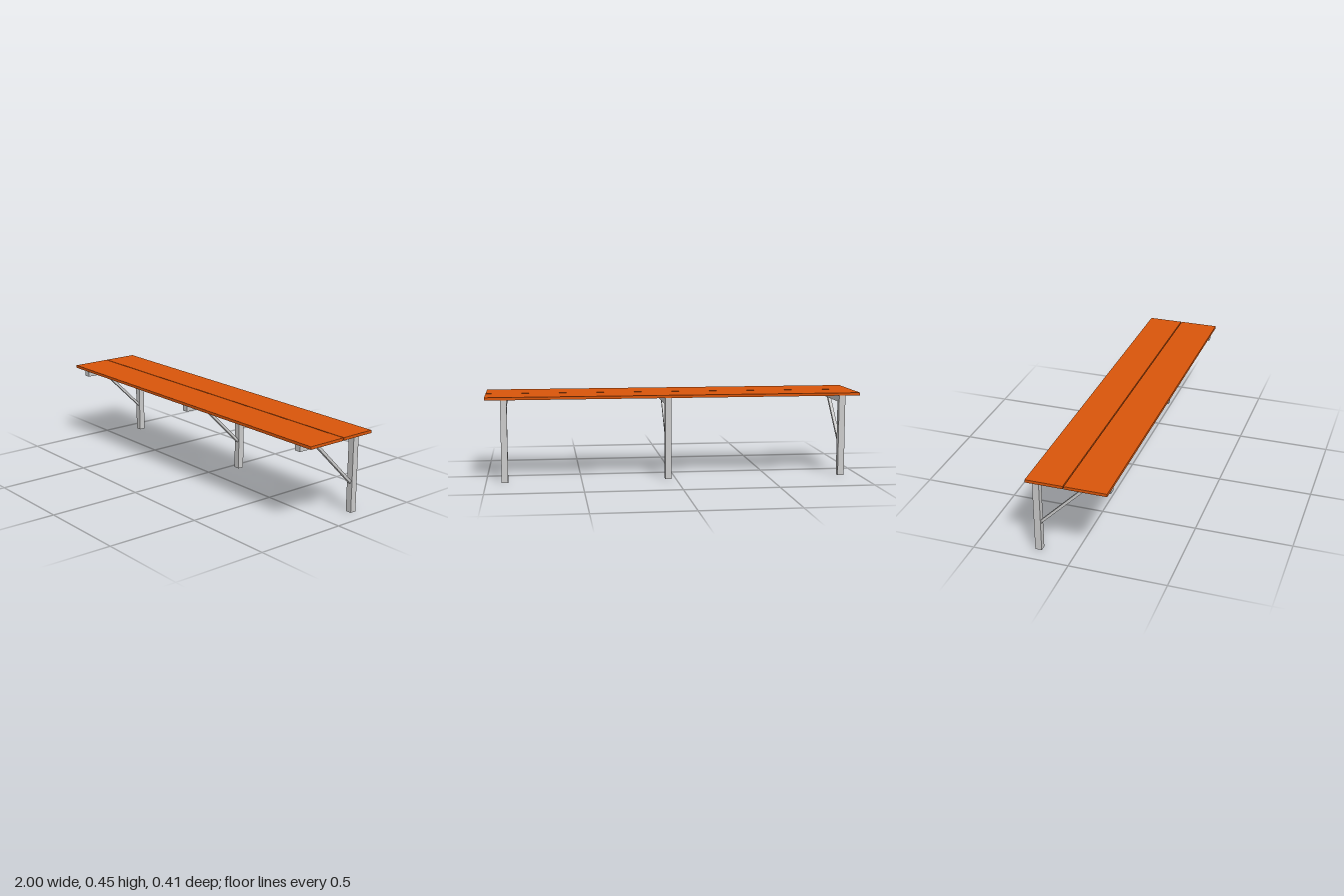
import * as THREE from 'three';

const TOP = 0.449, SEAT_Y = 0.434, BEAM_Y = 0.4;
const BACK = -0.204, LEG = 0.034, BRACE_WIDTH = 0.017;

export function createModel() {
  const model = new THREE.Group();
  model.name = 'bench';
  const wood = new THREE.MeshStandardMaterial({ color: 0xd9560b });
  const metal = new THREE.MeshStandardMaterial({ color: 0xcccccc });

  // Box given by its x centre and width, and its y and z ranges
  function box(name, material, parent, width, y0, y1, z0, z1) {
    const mesh = new THREE.Mesh(new THREE.BoxGeometry(width, y1 - y0, z1 - z0), material);
    mesh.position.set(0, (y0 + y1) / 2, (z0 + z1) / 2);
    mesh.name = name;
    parent.add(mesh);
  }

  // Two long seat boards with a narrow gap
  box('frontBoard', wood, model, 2, SEAT_Y, TOP, -0.009, 0.205);
  box('backBoard', wood, model, 2, SEAT_Y, TOP, BACK, -0.014);

  // Diagonal brace, cut flush against the beam and the leg
  const braceShape = new THREE.Shape([
    [0.057, BEAM_Y], [BACK + LEG, 0.172], [BACK + LEG, 0.153], [0.078, BEAM_Y],
  ].map(([z, y]) => new THREE.Vector2(z, y)));
  const braceGeometry = new THREE.ExtrudeGeometry(braceShape, { depth: BRACE_WIDTH, bevelEnabled: false });
  braceGeometry.translate(0, 0, -BRACE_WIDTH / 2).rotateY(-Math.PI / 2);

  // Three cantilever supports: leg, beam and brace
  [['right', -0.902], ['middle', 0.04], ['left', 0.902]].forEach(([side, x]) => {
    const support = new THREE.Group();
    support.name = side + 'Support';
    support.position.x = x;
    box('leg', metal, support, LEG, 0, BEAM_Y, BACK, BACK + LEG);
    box('beam', metal, support, LEG, BEAM_Y, SEAT_Y, BACK, 0.195);
    const brace = new THREE.Mesh(braceGeometry, metal);
    brace.name = 'brace';
    support.add(brace);
    model.add(support);
  });

  return model;
}
